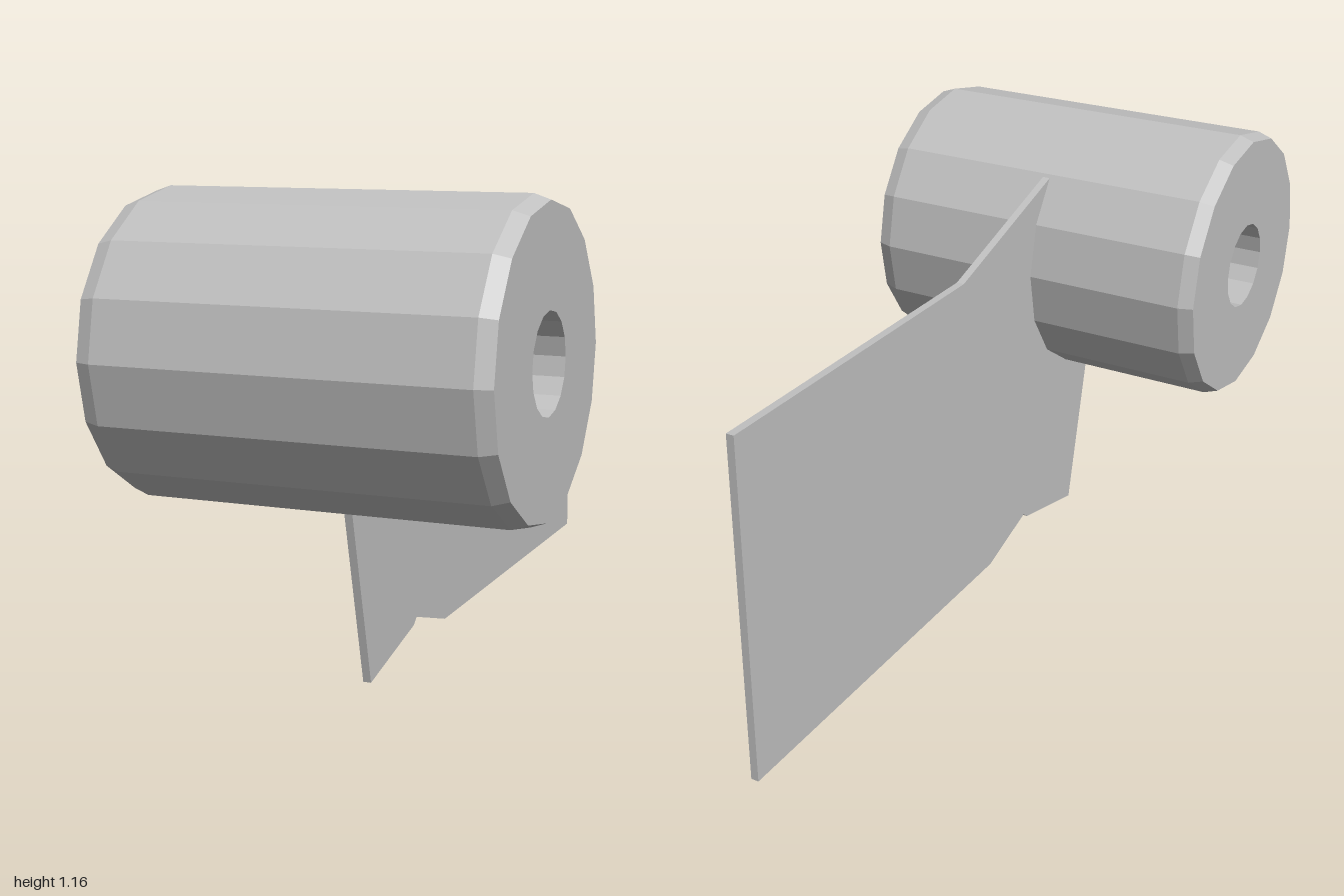
import * as THREE from 'three';

export function createModel() {
  const model = new THREE.Group();
  const grey = new THREE.MeshStandardMaterial({ color: 0xc0c0c0, flatShading: true });
  grey.name = 'grey';

  // Chamfered drum with a bore along x: closed section turned in 16 sides
  const half = 0.473, radius = 0.36, bore = 0.115, inset = 0.013, chamfer = 0.038;
  const section = [
    [bore, -half], [radius - inset, -half], [radius, -half + chamfer],
    [radius, half - chamfer], [radius - inset, half], [bore, half], [bore, -half],
  ].map(([r, h]) => new THREE.Vector2(r, h));
  const drumGeometry = new THREE.LatheGeometry(section, 16);
  drumGeometry.rotateZ(Math.PI / 2);
  const drum = new THREE.Mesh(drumGeometry, grey);
  drum.name = 'drum';
  drum.position.set(0, 0.8, 0.64);
  model.add(drum);

  // Thin upright plate, outlined as (z, y), reaching into the bore
  const thickness = 0.02;
  const outline = [
    [0.545, 0], [0.737, 0.87], [0.69, 0.88], [0.645, 0.915], [0.56, 0.94],
    [0.44, 1.065], [-0.07, 0.905], [-1, 0.905], [-1, 0.016],
    [0.07, 0.016], [0.262, 0.078], [0.282, 0.062],
  ].map(([z, y]) => new THREE.Vector2(z, y));
  const plateGeometry = new THREE.ExtrudeGeometry(new THREE.Shape(outline), {
    depth: thickness, bevelEnabled: false,
  });
  plateGeometry.translate(0, 0, -thickness / 2);
  plateGeometry.rotateY(-Math.PI / 2);
  const plate = new THREE.Mesh(plateGeometry, grey);
  plate.name = 'plate';
  model.add(plate);

  return model;
}
